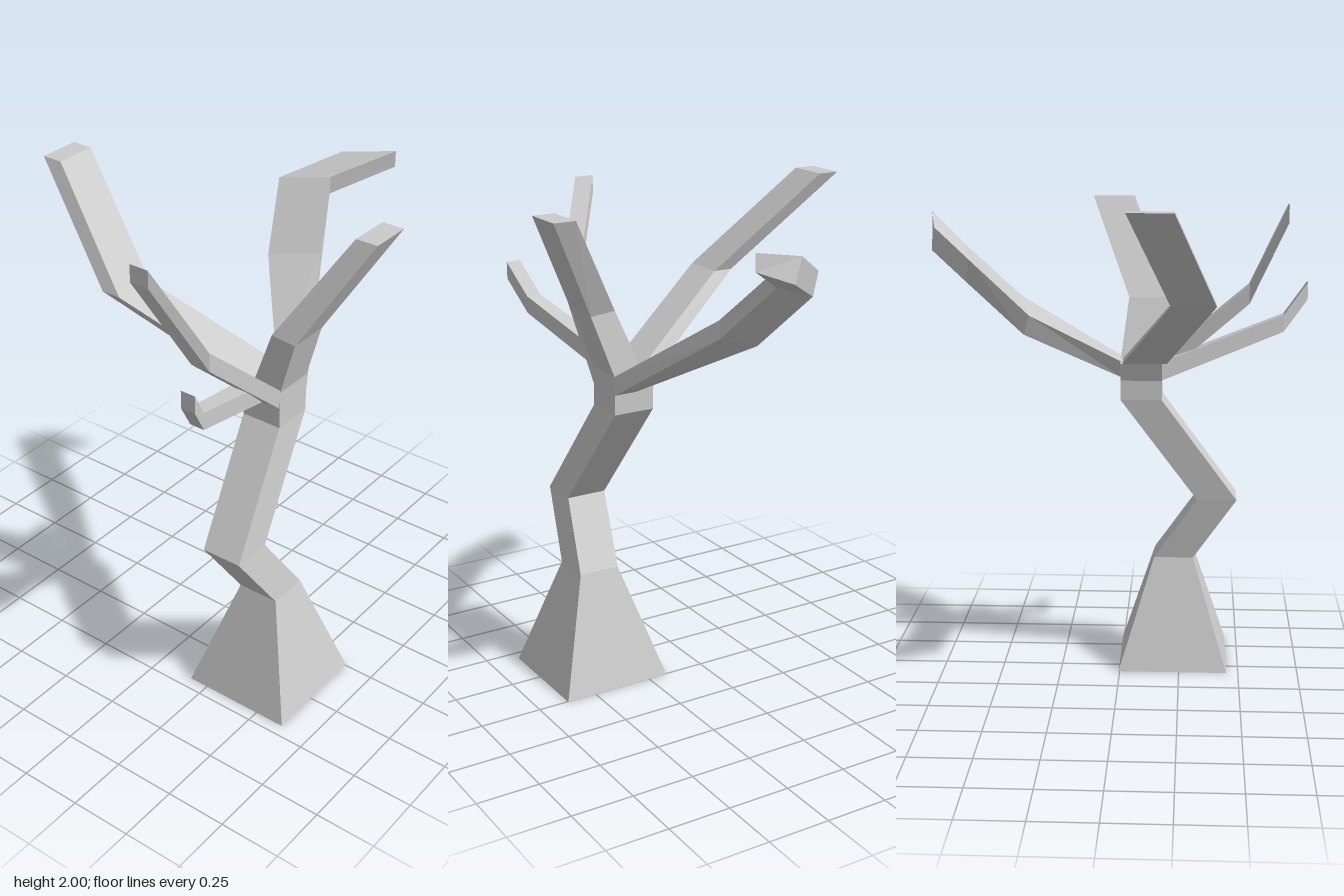
import * as THREE from 'three';

const material = new THREE.MeshStandardMaterial({ color: 0xcccccc, flatShading: true });

// Skin a run of four-cornered rings (counter-clockwise seen from the far end) and close both ends.
function loft(name, rings) {
  const pos = [];
  const quad = (a, b, c, d) => pos.push(...a, ...b, ...c, ...a, ...c, ...d);
  for (let r = 0; r < rings.length - 1; r++) {
    const lo = rings[r], hi = rings[r + 1];
    for (let i = 0; i < 4; i++) {
      const j = (i + 1) % 4;
      quad(lo[i], lo[j], hi[j], hi[i]);
    }
  }
  const [a, b, c, d] = rings[0];
  quad(d, c, b, a);
  quad(...rings[rings.length - 1]);
  const geometry = new THREE.BufferGeometry();
  geometry.setAttribute('position', new THREE.Float32BufferAttribute(pos, 3));
  geometry.computeVertexNormals();
  const mesh = new THREE.Mesh(geometry, material);
  mesh.name = name;
  return mesh;
}

// Ring for parts that grow upward: x span, front edge (z, y) and back edge (z, y).
const upRing = (x0, x1, zf, yf, zb, yb = yf) =>
  [[x0, yf, zf], [x1, yf, zf], [x1, yb, zb], [x0, yb, zb]];

// Upright ring for twigs that grow toward -x.
const sideRing = (x, y0, y1, zb, zf) =>
  [[x, y0, zb], [x, y0, zf], [x, y1, zf], [x, y1, zb]];

export function createModel() {
  const tree = new THREE.Group();
  tree.name = 'bareTree';

  // Flared foot, crooked trunk and the fork block
  tree.add(loft('trunk', [
    upRing(-0.45, 0.005, 0.625, 0, 0.168),
    upRing(-0.305, -0.14, 0.48, 0.465, 0.31),
    upRing(-0.485, -0.32, 0.435, 0.73, 0.268),
    upRing(-0.17, 0, 0.385, 1.165, 0.217),
    upRing(-0.17, 0, 0.385, 1.245, 0.217),
    upRing(-0.17, 0, 0.385, 1.32, 0.19),
  ]));

  // Two thick upright limbs
  tree.add(loft('frontLimb', [
    upRing(-0.17, 0, 0.385, 1.32, 0.265, 1.33),
    upRing(-0.198, -0.03, 0.465, 1.56, 0.362, 1.57),
    upRing(-0.04, 0.13, 0.69, 1.965, 0.6),
  ]));
  tree.add(loft('backLimb', [
    upRing(-0.19, -0.01, 0.265, 1.33, 0.19, 1.32),
    upRing(-0.385, -0.212, -0.2, 1.62, -0.28),
    upRing(-0.23, -0.06, -0.605, 2, -0.69),
  ]));

  // Broad flat limb curling out on the left side
  tree.add(loft('leftLimb', [
    [[0, 1.245, 0.385], [0, 1.245, 0.295], [0, 1.32, 0.245], [0, 1.32, 0.385]],
    [[0.4, 1.53, 0.165], [0.37, 1.47, -0.02], [0.345, 1.55, -0.05], [0.395, 1.6, 0.165]],
    [[0.605, 1.75, 0.06], [0.58, 1.69, -0.117], [0.56, 1.777, -0.155], [0.608, 1.82, 0.06]],
    [[0.765, 1.862, 0.258], [0.74, 1.79, 0.075], [0.722, 1.883, 0.035], [0.765, 1.928, 0.258]],
  ]));

  // Two thin twigs on the right side
  tree.add(loft('upperTwig', [
    sideRing(-0.165, 1.245, 1.325, 0.29, 0.385),
    sideRing(-0.523, 1.56, 1.635, 0.25, 0.33),
    sideRing(-0.668, 1.9, 1.97, 0.105, 0.185),
  ]));
  tree.add(loft('lowerTwig', [
    sideRing(-0.165, 1.245, 1.32, 0.217, 0.3),
    sideRing(-0.67, 1.43, 1.5, 0.36, 0.42),
    sideRing(-0.768, 1.56, 1.63, 0.4, 0.46),
  ]));

  return tree;
}
